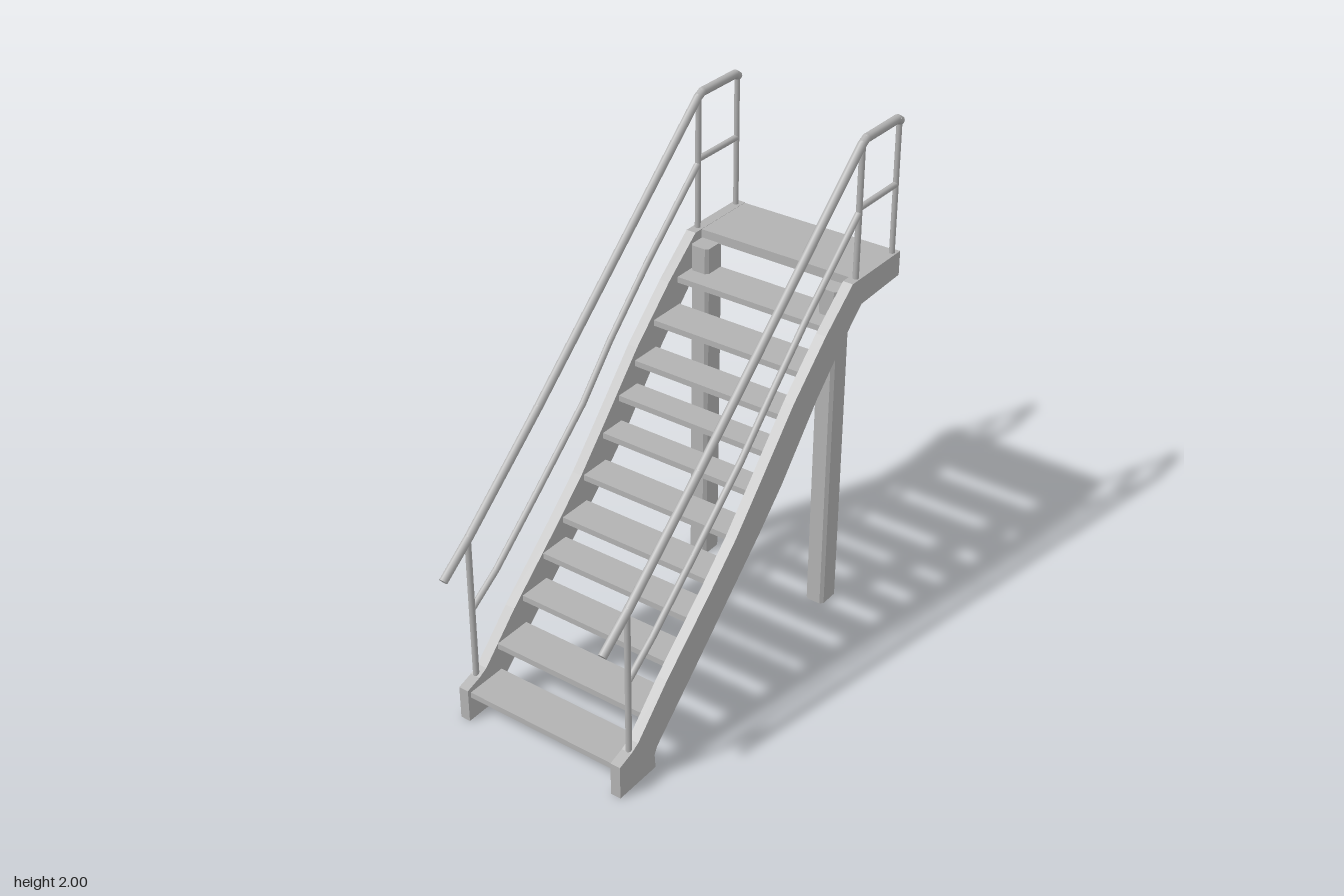
import * as THREE from 'three';

const steel = new THREE.MeshStandardMaterial({ color: 0xb2b2b2 });
steel.name = 'grey steel';

function add(parent, name, geometry, x = 0, y = 0, z = 0) {
  const mesh = new THREE.Mesh(geometry, steel);
  mesh.name = name;
  mesh.position.set(x, y, z);
  parent.add(mesh);
  return mesh;
}

// Round bars joined end to end through [z, y] points in a side plane
function bar(parent, name, x, points, radius) {
  const path = new THREE.CurvePath();
  const v = points.map(([z, y]) => new THREE.Vector3(x, y, z));
  for (let i = 1; i < v.length; i++) {
    const dir = v[i].clone().sub(v[i - 1]);
    const geometry = new THREE.CylinderGeometry(radius, radius, dir.length(), 10);
    geometry.applyQuaternion(new THREE.Quaternion().setFromUnitVectors(
      new THREE.Vector3(0, 1, 0), dir.clone().normalize()));
    const mid = v[i].clone().add(v[i - 1]).multiplyScalar(0.5);
    add(parent, name, geometry, mid.x, mid.y, mid.z);
    if (i < v.length - 1) {
      add(parent, name + 'Joint', new THREE.SphereGeometry(radius, 10, 8), v[i].x, v[i].y, v[i].z);
    }
  }
}

// Side beam outline as [z, y]: foot, gently waving slope, level landing
const stringerProfile = [
  [0.835, 0], [0.835, 0.14], [0.77, 0.16], [0.73, 0.18], [0.56, 0.35], [0.3, 0.58],
  [0.15, 0.72], [0, 0.885], [-0.2, 1.11], [-0.4, 1.3], [-0.57, 1.44], [-0.9, 1.44],
  [-0.9, 1.34], [-0.64, 1.33], [-0.58, 1.28], [-0.36, 1.06], [-0.14, 0.8], [0, 0.66],
  [0.2, 0.475], [0.4, 0.29], [0.62, 0.09], [0.635, 0.06], [0.63, 0],
];

// Front edge z and top y of each tread
const treads = [
  [0.82, 0.125], [0.66, 0.25], [0.51, 0.38], [0.385, 0.5], [0.265, 0.595], [0.135, 0.715],
  [0.015, 0.84], [-0.085, 0.955], [-0.185, 1.06], [-0.305, 1.18], [-0.455, 1.3],
];

function createSide(side) {
  const group = new THREE.Group();
  group.name = side > 0 ? 'leftSide' : 'rightSide';

  const outline = new THREE.Shape(stringerProfile.map(p => new THREE.Vector2(...p)));
  const beam = new THREE.ExtrudeGeometry(outline, { depth: 0.042, bevelEnabled: false });
  beam.rotateY(-Math.PI / 2);
  add(group, 'stringer', beam, side > 0 ? 0.372 : -0.33);

  // Support column with chamfered corners
  const w = 0.04, d = 0.051, c = 0.012;
  const section = new THREE.Shape([
    [w, d - c], [w - c, d], [c - w, d], [-w, d - c],
    [-w, c - d], [c - w, -d], [w - c, -d], [w, c - d],
  ].map(p => new THREE.Vector2(...p)));
  const column = new THREE.ExtrudeGeometry(section, { depth: 1.405, bevelEnabled: false });
  column.rotateX(-Math.PI / 2);
  add(group, 'supportColumn', column, side * 0.288, 0, -0.584);

  // Railing
  const x = side * 0.354;
  const sag = side > 0 ? 0 : 0.018;
  bar(group, 'handrail', x, [[0.895, 0.66], [0.75, 0.77], [0.35, 1.11], [-0.615, 1.97],
    [-0.64, 1.982], [-0.85, 1.982], [-0.872, 1.968]], 0.017);
  bar(group, 'middleRail', x, [[0.755, 0.47 - sag / 2], [0.62, 0.57 - sag], [0.38, 0.775 - sag],
    [0.1, 1.02 - sag], [-0.07, 1.195], [-0.3, 1.42], [-0.615, 1.7]], 0.013);
  bar(group, 'landingRail', x, [[-0.615, 1.72], [-0.865, 1.72]], 0.012);
  bar(group, 'frontPost', x, [[0.76, 0.15], [0.758, 0.77]], 0.012);
  bar(group, 'cornerPost', x, [[-0.617, 1.43], [-0.617, 1.97]], 0.012);
  bar(group, 'rearPost', x, [[-0.87, 1.43], [-0.865, 1.975]], 0.011);
  return group;
}

export function createModel() {
  const model = new THREE.Group();
  model.name = 'staircase';
  model.add(createSide(1), createSide(-1));

  // Open treads, each reaching just past the edge of the next
  treads.forEach(([front, top], i) => {
    const back = (i < treads.length - 1 ? treads[i + 1][0] : -0.61) - 0.012;
    add(model, 'tread', new THREE.BoxGeometry(0.665, 0.024, front - back),
      0, top - 0.012, (front + back) / 2);
  });

  // Landing deck, side edges and rear fascia
  add(model, 'landing', new THREE.BoxGeometry(0.67, 0.038, 0.287), 0, 1.42, -0.7535);
  const fascia = new THREE.PlaneGeometry(0.744, 0.1);
  fascia.rotateY(Math.PI);
  add(model, 'rearFascia', fascia, 0, 1.39, -0.901);
  return model;
}
